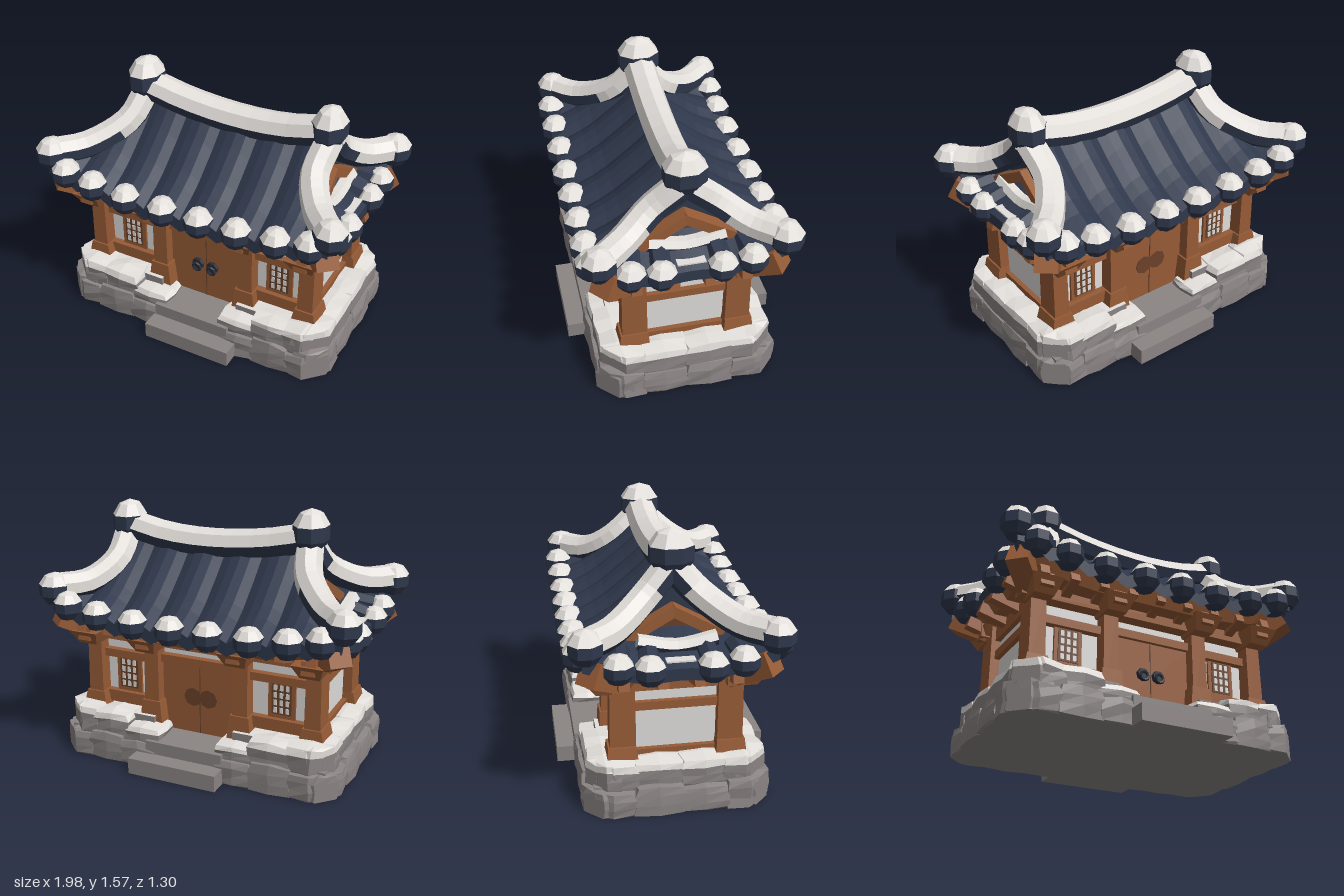
import * as THREE from 'three';

const paint = (name, color, extra = {}) => {
  const m = new THREE.MeshStandardMaterial({ color, flatShading: true, ...extra });
  m.name = name;
  return m;
};
const V = (x, y, z) => new THREE.Vector3(x, y, z);

export function createModel() {
  const model = new THREE.Group();
  model.name = 'tiledGatehouse';
  const wood = paint('wood', 0x965b36), darkWood = paint('dark wood', 0x69412a);
  const plaster = paint('plaster', 0xdfdddb), snow = paint('snow', 0xe4e0dc);
  const tile = paint('tile', 0x2f384c, { side: THREE.DoubleSide });
  const stone = paint('stone', 0x8b8584), iron = paint('iron', 0x2a2d38);

  const add = (name, geo, mat) => {
    const m = new THREE.Mesh(geo, mat);
    m.name = name;
    model.add(m);
    return m;
  };
  const box = (name, mat, x0, x1, y0, y1, z0, z1) => {
    const g = new THREE.BoxGeometry(x1 - x0, y1 - y0, z1 - z0);
    return add(name, g.translate((x0 + x1) / 2, (y0 + y1) / 2, (z0 + z1) / 2), mat);
  };
  // the same box on the front and the back
  const both = (name, mat, x0, x1, y0, y1, z0, z1) => {
    box(name, mat, x0, x1, y0, y1, z0, z1);
    box(name, mat, x0, x1, y0, y1, -z1, -z0);
  };
  const warp = (geo, fn) => {
    const p = geo.attributes.position, v = V(0, 0, 0);
    for (let i = 0; i < p.count; i++) {
      fn(v.fromBufferAttribute(p, i));
      p.setXYZ(i, v.x, v.y, v.z);
    }
    geo.computeVertexNormals();
    return geo;
  };
  const taper = (name, mat, x, z, y0, y1, w0, d0, w1, d1) => add(name,
    warp(new THREE.BoxGeometry(1, 1, 1), v => {
      const up = v.y > 0;
      v.set(x + v.x * (up ? w1 : w0), up ? y1 : y0, z + v.z * (up ? d1 : d0));
    }), mat);
  const beam = (name, mat, a, b, w, h) => {
    const m = add(name, new THREE.BoxGeometry(w, h, a.distanceTo(b)), mat);
    m.position.copy(a).add(b).multiplyScalar(0.5);
    m.lookAt(b);
    return m;
  };
  // faces that point up enough, or lie above a line, get snow
  const snowy = (name, geo, base, limit, line = Infinity) => {
    const src = (geo.index ? geo.toNonIndexed() : geo).attributes.position;
    const parts = [[], []], t = new THREE.Triangle(), n = V(0, 0, 0), c = V(0, 0, 0);
    for (let i = 0; i < src.count; i += 3) {
      t.setFromAttributeAndIndices(src, i, i + 1, i + 2).getNormal(n);
      t.getMidpoint(c);
      for (const p of [t.a, t.b, t.c]) parts[n.y > limit || c.y > line ? 0 : 1].push(p.x, p.y, p.z);
    }
    const g = new THREE.BufferGeometry();
    g.setAttribute('position', new THREE.Float32BufferAttribute(parts.flat(), 3));
    g.addGroup(0, parts[0].length / 3, 0);
    g.addGroup(parts[0].length / 3, parts[1].length / 3, 1);
    g.computeVertexNormals();
    return add(name, g, [snow, base]);
  };

  // --- stone base, its four corners cut off ---
  const hash = (...k) => {
    const s = Math.sin(k.reduce((a, b, i) => a + b * (12.99 + i * 33.7), 1.3)) * 43758.5;
    return s - Math.floor(s) - 0.5;
  };
  let seed = 0;
  const rock = (x, y, z, w, h, d, capped) => {
    seed++;
    const g = warp(new THREE.BoxGeometry(2, 2, 2, 2, 4, 2), v => {
      const k = 1.04 - 0.1 * (v.x ** 2 + v.y ** 4 + v.z ** 2 - 1);
      const j = c => 0.12 * hash(seed, v.x, v.y, v.z, c);
      v.set(x + (v.x * k + j(1)) * w / 2, Math.max(0, y + (v.y * k + j(2)) * h / 2), z + (v.z * k + j(3)) * d / 2);
      const cut = Math.max(0, Math.abs(v.x - 0.015) + Math.abs(v.z) - (capped ? 1.27 : 1.33)) / 2;
      v.x -= cut * Math.sign(v.x);
      v.z -= cut * Math.sign(v.z);
    });
    if (capped) snowy('baseCapStone', g, stone, 0.4, y + h * 0.24);
    else add('baseStone', g, stone);
  };
  for (const [edges, tops] of [[[-0.87, -0.62, -0.38, -0.16], [0.31, 0.3, 0.23]], [[0.25, 0.47, 0.69, 0.91], [0.24, 0.3, 0.31]]])
    for (let i = 0; i < 3; i++) for (const s of [1, -1]) {
      const x = (edges[i] + edges[i + 1]) / 2, w = edges[i + 1] - edges[i] + 0.03;
      rock(x, 0.06, s * 0.44, w, 0.2 + 0.05 * (i % 2), 0.21, false);
      rock(x * 0.96, (tops[i] + 0.11) / 2, s * 0.415, w, tops[i] - 0.1, 0.2, true);
    }
  const zs = [-0.52, -0.25, 0.02, 0.28, 0.52];
  for (let i = 0; i < 4; i++) for (const [xb, xt] of [[-0.79, -0.745], [0.82, 0.8]]) {
    const z = (zs[i] + zs[i + 1]) / 2, d = zs[i + 1] - zs[i] + 0.03;
    rock(xb, 0.06, z, 0.2, 0.2 + 0.05 * (i % 2), d, false);
    rock(xt, 0.21, z * 0.96, 0.2, 0.2, d, true);
  }
  box('baseCore', stone, -0.82, 0.85, 0, 0.17, -0.48, 0.48);
  for (const [a, b] of [[-0.78, -0.22], [0.3, 0.82]])
    snowy('baseTop', new THREE.BoxGeometry(b - a, 0.13, 0.84).translate((a + b) / 2, 0.22, 0), stone, 0.5);
  box('upperStep', stone, -0.2, 0.3, 0, 0.18, -0.54, 0.54);
  box('lowerStep', stone, -0.21, 0.36, 0, 0.1, -0.65, 0.65);

  // --- walls, columns and frames ---
  box('walls', plaster, -0.69, 0.72, 0.18, 0.82, -0.29, 0.29);
  const columns = [-0.7, -0.25, 0.335, 0.73];
  columns.forEach((x, i) => {
    const low = i % 3 ? 0.2 : 0.28;
    for (const s of [1, -1]) {
      taper('column', wood, x, s * 0.305, low, 0.8, 0.1, 0.15, 0.09, 0.14);
      taper('columnFoot', wood, x, s * 0.31, low, 0.375, 0.16, 0.18, 0.12, 0.16);
      taper('bracket', wood, x, s * 0.37, 0.71, 0.8, 0.12, 0.16, 0.19, 0.28);
      beam('bracketArm', wood, V(x, 0.755, s * 0.3), V(x, 0.785, s * 0.49), 0.08, 0.08);
    }
  });
  for (const [x0, x1, c] of [[-0.66, -0.29, -0.485], [0.38, 0.69, 0.53]]) {
    both('sill', wood, x0, x1, 0.3, 0.375, 0.28, 0.335);
    both('windowRail', wood, x0, x1, 0.6, 0.65, 0.28, 0.335);
    both('windowFrame', wood, c - 0.085, c + 0.085, 0.375, 0.6, 0.28, 0.305);
    both('windowLattice', darkWood, c - 0.062, c + 0.062, 0.4, 0.595, 0.305, 0.31);
    for (let i = 0; i < 3; i++) for (let j = 0; j < 4; j++) {
      const x = c - 0.038 + i * 0.038, y = 0.427 + j * 0.047;
      both('windowPaper', plaster, x - 0.0105, x + 0.0105, y - 0.017, y + 0.017, 0.31, 0.314);
    }
  }
  // doors with their seam, and handles on the front only
  both('door', wood, -0.21, 0.3, 0.18, 0.625, 0.27, 0.31);
  both('doorHeader', wood, -0.21, 0.3, 0.62, 0.67, 0.28, 0.335);
  both('doorSeam', darkWood, 0.037, 0.043, 0.18, 0.62, 0.31, 0.313);
  for (const x of [-0.015, 0.085]) {
    add('handlePlate', new THREE.CylinderGeometry(0.036, 0.04, 0.02, 7).rotateX(Math.PI / 2).translate(x, 0.415, 0.32), iron);
    add('handleRing', new THREE.TorusGeometry(0.026, 0.009, 5, 8).translate(x, 0.4, 0.337), iron);
    add('doorMark', new THREE.CylinderGeometry(0.06, 0.06, 0.006, 8).rotateX(Math.PI / 2).translate(x, 0.415, -0.313), darkWood);
  }
  for (const [x, s] of [[-0.69, -1], [0.72, 1]])
    for (const [y0, y1] of [[0.28, 0.335], [0.58, 0.63], [0.7, 0.8]])
      box(s > 0 ? 'leftSideRail' : 'rightSideRail', wood, x - 0.03, x + 0.03, y0, y1, -0.27, 0.27);
  both('topBeam', wood, -0.8, 0.82, 0.73, 0.82, 0.27, 0.37);

  // --- timber under the eaves, corners turned up ---
  add('eaveTimber', warp(new THREE.BoxGeometry(1.74, 0.09, 1.02, 12, 1, 6), v => {
    const k = v.y > 0 ? 1 : 0.92, lift = 0.09 * Math.abs(v.x / 0.87) ** 4 * (v.z / 0.51) ** 2;
    v.set(v.x * k + 0.005, v.y + 0.83 + lift, v.z * k);
  }), wood);
  for (let i = 0; i < 9; i++) for (const s of [1, -1]) {
    const x = -0.72 + i * 0.183;
    beam('rafter', wood, V(x, 0.78, s * 0.33), V(x, 0.835, s * 0.5), 0.055, 0.06);
  }
  for (const [x, e] of [[-0.7, -0.88], [0.73, 0.89]]) {
    for (const s of [1, -1])
      beam('cornerBeam', wood, V(x, 0.77, s * 0.31), V(e, 0.9, s * 0.5), 0.13, 0.14);
    for (const z of [-0.31, -0.1, 0.1, 0.31])
      beam('sideRafter', wood, V(x, 0.77, z), V(e, 0.82, z), 0.06, 0.07);
  }

  // --- roof surfaces ---
  const lerp = (pts, t) => {
    let i = 1;
    while (i < pts.length - 1 && t > pts[i][0]) i++;
    const [a, b] = [pts[i - 1], pts[i]];
    return a[1] + (b[1] - a[1]) * (t - a[0]) / (b[0] - a[0]);
  };
  const leftEdge = [[0, -0.53], [0.14, -0.57], [0.35, -0.78], [0.55, -0.91]];
  const rightEdge = [[0, 0.66], [0.19, 0.66], [0.35, 0.76], [0.55, 0.91]];
  const slope = [[0, 1.3], [0.14, 1.17], [0.35, 1.0], [0.55, 0.9]];
  const sheet = (name, nu, nv, fn) => add(name,
    warp(new THREE.PlaneGeometry(1, 1, nu, nv), v => v.copy(fn(v.x + 0.5, 0.5 - v.y))), tile);
  // straight rolls, trimmed along the hips
  for (const s of [1, -1]) sheet('mainRoof', 32, 8, (u, w) => {
    const z = Math.min(0.55, w / 7 * 8 * 0.55);
    const x = THREE.MathUtils.clamp(s * (u - 0.5) * 1.92, lerp(leftEdge, z), lerp(rightEdge, z));
    const roll = 0.045 * Math.abs(Math.cos((x - 0.12) / 0.24 * Math.PI));
    const lift = 0.1 * Math.abs(x / 0.9) ** 3 * z / 0.55;
    return V(x, lerp(slope, z) + roll + lift - (w > 0.99 ? 0.08 : 0) - 0.015, s * z);
  });
  const gableWall = (name, x, half, low, top, mat) => {
    const tri = new THREE.Shape([new THREE.Vector2(-half, low), new THREE.Vector2(half, low), new THREE.Vector2(0, top)]);
    add(name, new THREE.ExtrudeGeometry(tri, { depth: 0.02, bevelEnabled: false }).rotateY(Math.PI / 2).translate(x - 0.01, 0, 0), mat);
  };
  for (const [g, e] of [[-0.55, -0.89], [0.64, 0.89]]) {
    const s = Math.sign(g);
    sheet('sideRoof', 24, 5, (u, w) => {
      const t = Math.min(1, w * 1.25), z = (0.5 - u) * s * (0.72 + 0.34 * t);
      const lift = 0.1 * t * Math.abs(z / 0.53) ** 3;
      return V(g + (e - g) * t, 1.0 - 0.12 * t + lift + 0.02 * Math.abs(Math.cos(z * 9)) - (w > 0.99 ? 0.07 : 0), z);
    });
    for (const z of [-0.34, -0.17, 0.17, 0.34]) {
      const line = new THREE.LineCurve3(V(s * 0.72, 0.95, z * 0.93), V(s * 0.87, 0.895 + 0.03 * (z / 0.34) ** 2, z));
      add('sideTileRoll', new THREE.TubeGeometry(line, 1, 0.062, 7), tile);
    }
    // gable wall, barge boards and the snow below
    gableWall('gableEdge', g - s * 0.02, 0.4, 0.94, 1.29, tile);
    gableWall('gable', g + s * 0.01, 0.28, 0.95, 1.14, darkWood);
    for (const k of [1, -1])
      beam('bargeBoard', wood, V(g + s * 0.05, 1.13, -k * 0.015), V(g + s * 0.07, 0.975, k * 0.27), 0.08, 0.06);
    const arc = new THREE.CatmullRomCurve3([V(s * 0.73, 1.0, -0.22), V(s * 0.73, 0.96, 0), V(s * 0.73, 1.0, 0.22)]);
    snowy('gableLedge', new THREE.TubeGeometry(arc, 8, 0.045, 6), tile, -0.1);
    box('sideSnow', snow, s * 0.835 - 0.03, s * 0.835 + 0.03, 0.923, 0.932, -0.08, 0.08);
  }

  // --- ridges with snow ---
  const knob = (name, x, y, z, rx, ry, rz, limit, turn = 0) => snowy(name,
    new THREE.SphereGeometry(1, 8, 5).rotateY(Math.PI / 8).scale(rx, ry, rz).rotateY(turn).translate(x, y, z), tile, limit);
  const ridge = new THREE.CatmullRomCurve3([V(-0.55, 1.4, 0), V(-0.25, 1.335, 0), V(0.1, 1.305, 0), V(0.4, 1.32, 0), V(0.68, 1.38, 0)]);
  snowy('mainRidge', new THREE.TubeGeometry(ridge, 10, 0.092, 8).scale(1, 1, 1.1), tile, -0.1);
  knob('ridgeEnd', -0.53, 1.43, 0, 0.112, 0.14, 0.138, 0.2);
  knob('ridgeEnd', 0.665, 1.395, 0, 0.107, 0.135, 0.133, 0.2);
  for (const s of [1, -1]) for (const pts of [
    [[-0.53, 1.34, 0.02], [-0.575, 1.2, 0.15], [-0.75, 1.08, 0.35], [-0.9, 1.07, 0.51]],
    [[0.67, 1.32, 0.02], [0.66, 1.18, 0.18], [0.76, 1.075, 0.35], [0.9, 1.065, 0.51]]]) {
    const curve = new THREE.CatmullRomCurve3(pts.map(([x, y, z]) => V(x, y, s * z)));
    snowy('hipRidge', new THREE.TubeGeometry(curve, 10, 0.085, 8), tile, -0.05);
    const [x, y, z] = pts[3];
    knob('hipEnd', x, y - 0.01, s * z, 0.1, 0.105, 0.105, 0.5, Math.sign(x) * s * 0.7);
  }

  // --- round tile ends along the eaves ---
  for (const s of [1, -1]) {
    for (const x of [-0.79, -0.6, -0.37, -0.12, 0.12, 0.36, 0.6, 0.8])
      knob('eaveTileEnd', x, 0.905 + 0.08 * Math.abs(x / 0.86) ** 3, s * 0.54, 0.09, 0.093, 0.094, 0.2);
    for (const z of [0.34, 0.17, -0.17, -0.34])
      knob('sideTileEnd', s * 0.88, 0.885 + 0.03 * (z / 0.34) ** 2, z, 0.084, 0.09, 0.09, 0.2);
  }
  return model;
}
